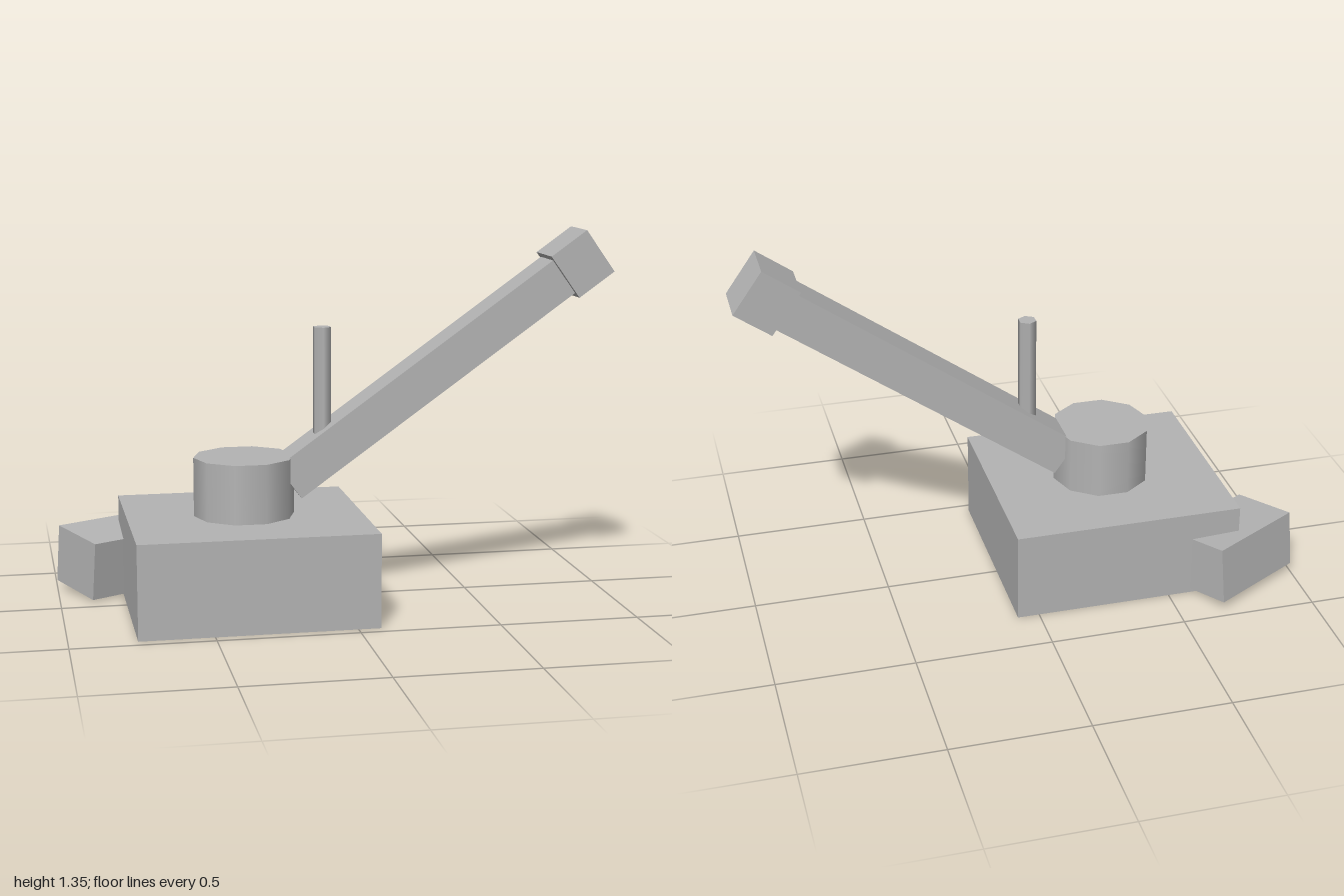
import * as THREE from 'three';

export function createModel() {
  const model = new THREE.Group();
  const grey = new THREE.MeshStandardMaterial({ color: 0xb4b4b4 });
  grey.name = 'plain grey';

  const add = (name, geometry, parent, x, y, z) => {
    const mesh = new THREE.Mesh(geometry, grey);
    mesh.name = name;
    mesh.position.set(x, y, z);
    parent.add(mesh);
    return mesh;
  };

  const midZ = 0.07; // line shared by turret, mast and arm

  // Body block
  add('base', new THREE.BoxGeometry(0.845, 0.337, 0.78), model, -0.342, 0.1685, midZ);

  // Ten-sided turret with smooth walls, a corner pointing along x
  add('turret', new THREE.CylinderGeometry(0.182, 0.182, 0.213, 10, 1, false, Math.PI / 2),
    model, -0.342, 0.4435, midZ);

  // Six-sided mast that pierces the arm
  add('mast', new THREE.CylinderGeometry(0.034, 0.034, 0.53, 6), model, -0.056, 0.745, midZ);

  // Raised arm, built along its own x axis from the turret end
  const arm = new THREE.Group();
  arm.name = 'arm';
  arm.position.set(-0.187, 0.461, midZ);
  arm.rotation.z = 0.62;
  model.add(arm);
  const armLength = 1.28;
  add('armBeam', new THREE.BoxGeometry(armLength, 0.147, 0.147), arm, armLength / 2, 0, 0);
  add('armHead', new THREE.BoxGeometry(0.16, 0.185, 0.185), arm, 1.315, 0, 0);

  // Tilted block leaning against the back corner
  const block = add('cornerBlock', new THREE.BoxGeometry(0.386, 0.215, 0.245),
    model, -0.768, 0.127, -0.254);
  block.rotation.set(0.105, 0.51, 0, 'YXZ');

  return model;
}
